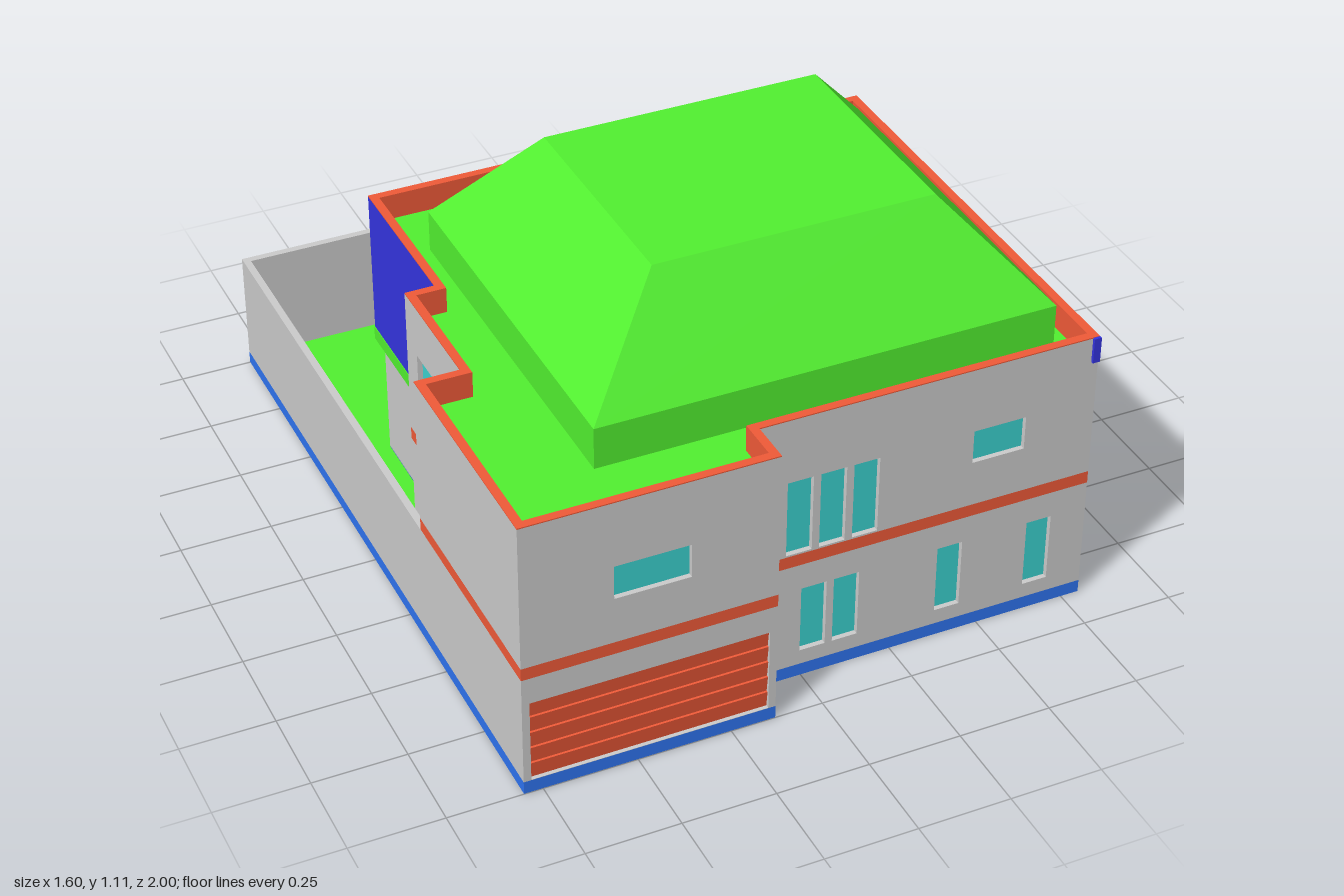
import * as THREE from 'three';

const paint = (color) => new THREE.MeshStandardMaterial({ color, flatShading: true });
const M = {
  grey: paint(0xcccccc), green: paint(0x52f030), red: paint(0xf05a38), teal: paint(0x3cd2d0),
  blue: paint(0x2f74f0), navy: paint(0x3434e0), olive: paint(0xf0e473),
};
const T = 0.02; // wall thickness

// Plan corners [x, z], walked left to right as seen from outside
const FRONT = [[-0.8, 1], [-0.13, 1], [-0.13, 0.88], [0.8, 0.88]];
const SIDE = [[-0.6, -0.01], [-0.68, -0.01], [-0.68, 0.36], [-0.8, 0.36]];
const LOWER = [...FRONT, [0.8, -0.41], [-0.6, -0.41], ...SIDE];
const UPPER = [...FRONT, [0.8, -0.41], [-0.13, -0.41], [-0.13, -0.48], [-0.6, -0.48], ...SIDE];
const PLOT = [...FRONT, [0.8, -1], [-0.8, -1]];

function add(parent, name, geometry, material) {
  const mesh = new THREE.Mesh(geometry, material);
  mesh.name = name;
  parent.add(mesh);
  return mesh;
}

// Box given by its limits on each axis
function block(parent, name, x0, x1, y0, y1, z0, z1, material) {
  const mesh = add(parent, name, new THREE.BoxGeometry(x1 - x0, y1 - y0, z1 - z0), material);
  mesh.position.set((x0 + x1) / 2, (y0 + y1) / 2, (z0 + z1) / 2);
  return mesh;
}

// Moves every side of a right-angled plan inwards by d
function inset(plan, d) {
  const n = plan.length;
  return plan.map(([x, z], i) => {
    const p = plan[(i + n - 1) % n], q = plan[(i + 1) % n];
    const sx = Math.sign(x - p[0]) + Math.sign(q[0] - x);
    const sz = Math.sign(z - p[1]) + Math.sign(q[1] - z);
    return [x + sz * d, z - sx * d];
  });
}

const toPoints = (plan) => plan.map(([x, z]) => new THREE.Vector2(x, -z));

// Horizontal slab over a plan, optionally with a hole
function slab(parent, name, plan, y0, y1, material, hole) {
  const shape = new THREE.Shape(toPoints(plan));
  if (hole) shape.holes.push(new THREE.Path(toPoints(hole)));
  const geometry = new THREE.ExtrudeGeometry(shape, { depth: y1 - y0, bevelEnabled: false });
  geometry.rotateX(-Math.PI / 2).translate(0, y0, 0);
  return add(parent, name, geometry, material);
}

const rect = (path, x0, x1, y0, y1) =>
  path.moveTo(x0, y0).lineTo(x1, y0).lineTo(x1, y1).lineTo(x0, y1).closePath();

// Recessed filling of a wall opening
function fillOpening(group, kind, u0, u1, y0, y1) {
  if (kind === 'garageDoor') {
    const n = 5, h = (y1 - y0) / n;
    for (let i = 0; i < n; i++) {
      const slat = block(group, 'garageDoorSlat', u0, u1, y0 + i * h, y0 + (i + 1) * h, -0.018, -0.008, M.red);
      slat.rotation.x = 0.12;
    }
  } else if (kind === 'door') {
    block(group, 'doorFrame', u0, u1, y0, y1, -0.018, -0.012, M.red);
    block(group, 'doorLeaf', u0 + 0.006, u1 - 0.006, y0, y1 - 0.006, -0.017, -0.008, M.blue);
  } else {
    block(group, 'windowPane', u0, u1, y0, y1, -0.019, -0.014, M.teal);
  }
}

// Upright wall from a to b; openings are [start, end, bottom, top, kind] along the wall's world axis
function wall(parent, name, a, b, y0, y1, material, openings = []) {
  const dx = b[0] - a[0], dz = b[1] - a[1];
  const axis = Math.abs(dx) > Math.abs(dz) ? 0 : 1;
  const group = new THREE.Group();
  group.name = name;
  const shape = new THREE.Shape();
  rect(shape, 0, Math.hypot(dx, dz), y0, y1);
  for (const [c0, c1, low, high, kind] of openings) {
    const [u0, u1] = [Math.abs(c0 - a[axis]), Math.abs(c1 - a[axis])].sort((p, q) => p - q);
    const hole = new THREE.Path();
    rect(hole, u0, u1, low, high);
    shape.holes.push(hole);
    fillOpening(group, kind, u0, u1, low, high);
  }
  const geometry = new THREE.ExtrudeGeometry(shape, { depth: T, bevelEnabled: false });
  add(group, name + 'Panel', geometry.translate(0, 0, -T), material);
  group.position.set(a[0], 0, a[1]);
  group.rotation.y = Math.atan2(-dz, dx);
  parent.add(group);
}

// Walls along a plan; openings are keyed by the number of the side
function storey(parent, name, plan, y0, y1, openings, materialOf) {
  plan.forEach((a, i) =>
    wall(parent, name, a, plan[(i + 1) % plan.length], y0, y1, materialOf(i), openings[i]));
}

export function createModel() {
  const house = new THREE.Group();
  house.name = 'house';

  // Floors of rooms and yard
  const floors = [
    ['livingFloor', -0.13, 0.797, -0.41, 0.877, M.olive],
    ['garageFloor', -0.797, -0.13, 0.36, 0.997, M.red],
    ['backRoomFloor', -0.6, -0.13, -0.41, 0, M.navy],
    ['middleRoomFloor', -0.68, -0.13, 0, 0.36, M.blue],
    ['yardFloor', -0.797, 0.797, -0.997, -0.41, M.green],
    ['yardFloor', -0.797, -0.6, -0.41, 0, M.green],
    ['yardFloor', -0.797, -0.68, 0, 0.36, M.green],
  ];
  for (const [name, x0, x1, z0, z1, m] of floors) block(house, name, x0, x1, 0, 0.035, z0, z1, m);

  // Plinth round the whole plot
  slab(house, 'plinth', PLOT, 0.001, 0.037, M.blue, inset(PLOT, 0.015));

  // Ground floor
  const tall = [0.08, 0.275], mid = [0.515, 0.61], high = [0.625, 0.67];
  storey(house, 'groundWall', LOWER, 0.037, 0.35, {
    0: [[-0.785, -0.14, 0.038, 0.275, 'garageDoor']],
    2: [[-0.005, 0.065, ...tall], [0.085, 0.155, ...tall], [0.375, 0.445, ...tall], [0.63, 0.7, ...tall]],
    4: [[0.64, 0.72, ...tall], [0.375, 0.455, ...tall], [-0.3, -0.19, 0.038, 0.275, 'door']],
  }, () => M.grey);

  // Band between the floors, and the slab under the projecting room
  slab(house, 'floorBand', LOWER, 0.35, 0.385, M.red);
  block(house, 'projectingSlab', -0.602, -0.129, 0.347, 0.385, -0.481, -0.01, M.green);

  // Upper floor, with the projecting room in its own colour
  storey(house, 'upperWall', UPPER, 0.385, 0.794, {
    0: [[-0.56, -0.36, ...mid]],
    2: [[-0.05, 0.02, 0.39, 0.61], [0.04, 0.11, 0.39, 0.61], [0.13, 0.2, 0.39, 0.61], [0.46, 0.605, ...mid]],
    3: [[-0.01, 0.18, ...mid]],
    4: [[0.445, 0.64, ...high], [-0.02, 0.17, ...high]],
    6: [[-0.57, -0.36, ...mid]],
    9: [[0.06, 0.29, 0.56, 0.65]],
  }, (i) => (i >= 5 && i <= 7 ? M.navy : M.grey));

  // Flat roof with parapet lining and coping
  slab(house, 'flatRoof', inset(UPPER, 0.01), 0.71, 0.725, M.green);
  slab(house, 'parapetLining', inset(UPPER, 0.015), 0.72, 0.794, M.red, inset(UPPER, 0.023));
  slab(house, 'parapetCoping', UPPER, 0.794, 0.797, M.red, inset(UPPER, 0.023));
  block(house, 'cornerPost', 0.781, 0.801, 0.725, 0.796, 0.868, 0.888, M.navy);

  // Hipped roof: eaves block and tapered top
  block(house, 'eaves', -0.51, 0.735, 0.72, 0.84, -0.275, 0.775, M.green);
  const hip = block(house, 'hippedRoof', -0.51, 0.735, 0.84, 1.112, -0.275, 0.775, M.green);
  const p = hip.geometry.attributes.position;
  for (let i = 0; i < p.count; i++) {
    if (p.getY(i) > 0) {
      p.setX(i, p.getX(i) - Math.sign(p.getX(i)) * 0.242);
      p.setZ(i, p.getZ(i) - Math.sign(p.getZ(i)) * 0.202);
    }
  }
  hip.geometry.computeVertexNormals();

  // Yard walls
  const yard = [[0.8, -0.41], [0.8, -1], [-0.8, -1], [-0.8, 0.36]];
  for (let i = 0; i < 3; i++) wall(house, 'yardWall', yard[i], yard[i + 1], 0.037, 0.348, M.grey);

  return house;
}
